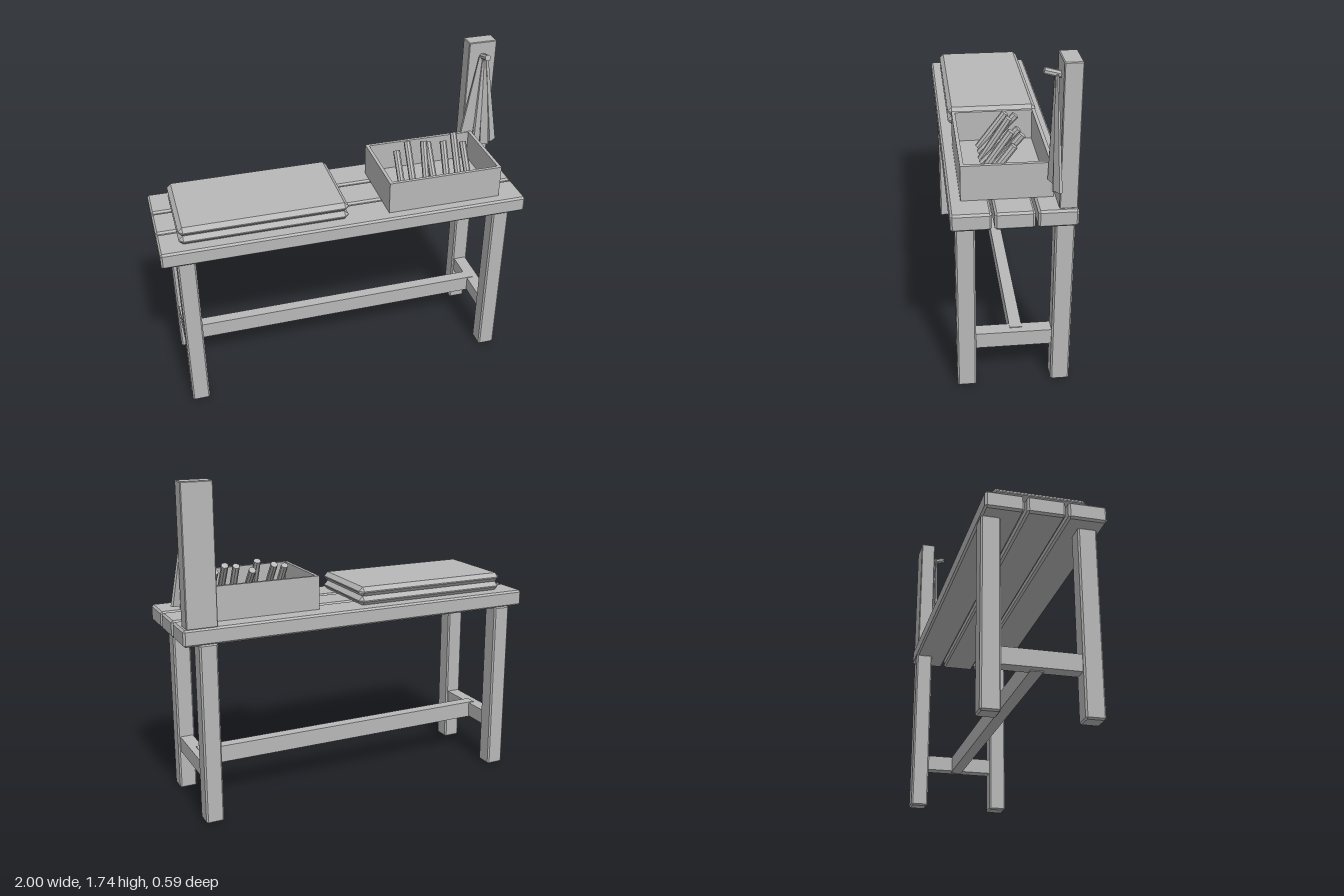
import * as THREE from 'three';
import { ConvexGeometry } from 'three/addons/geometries/ConvexGeometry.js';

const grey = new THREE.MeshStandardMaterial({ color: 0xb8b8b8, flatShading: true });
grey.name = 'plain grey';

// Box given by its limits, with every edge and corner chamfered by c
function chamferBox([x0, x1], [y0, y1], [z0, z1], c) {
  const half = [(x1 - x0) / 2, (y1 - y0) / 2, (z1 - z0) / 2];
  const points = [];
  for (const sx of [-1, 1]) for (const sy of [-1, 1]) for (const sz of [-1, 1]) {
    for (let axis = 0; axis < 3; axis++) {
      const d = half.map((h, i) => (i === axis ? h : h - c));
      points.push(new THREE.Vector3(sx * d[0], sy * d[1], sz * d[2]));
    }
  }
  return new ConvexGeometry(points).translate((x0 + x1) / 2, (y0 + y1) / 2, (z0 + z1) / 2);
}

// Sharp box given by its limits
function box([x0, x1], [y0, y1], [z0, z1]) {
  return new THREE.BoxGeometry(x1 - x0, y1 - y0, z1 - z0)
    .translate((x0 + x1) / 2, (y0 + y1) / 2, (z0 + z1) / 2);
}

// Tapered bar between two points; flat squashes it, twist turns it on its axis
function bar(from, to, r0, r1, sides, flat = 1, twist = 0) {
  const a = new THREE.Vector3(...from);
  const b = new THREE.Vector3(...to);
  const dir = b.clone().sub(a);
  const g = new THREE.CylinderGeometry(r1, r0, dir.length(), sides);
  g.rotateY(Math.PI / sides).scale(1, 1, flat).rotateY(twist);
  g.applyQuaternion(new THREE.Quaternion().setFromUnitVectors(
    new THREE.Vector3(0, 1, 0), dir.normalize()));
  return g.translate(...a.add(b).multiplyScalar(0.5).toArray());
}

export function createModel() {
  const model = new THREE.Group();
  model.name = 'workbench';
  const add = (name, geometry) => {
    const mesh = new THREE.Mesh(geometry, grey);
    mesh.name = name;
    model.add(mesh);
  };

  // Table top of three planks
  for (const z of [[-0.295, -0.107], [-0.094, 0.092], [0.105, 0.295]])
    add('plank', chamferBox([-1, 0.97], [0.945, 1.032], z, 0.01));

  // Legs, cross rails and long stretcher
  for (const x of [[-0.92, -0.825], [0.798, 0.892]]) {
    for (const z of [[0.175, 0.27], [-0.295, -0.2]])
      add('leg', chamferBox(x, [0, 0.95], z, 0.008));
    add('crossRail', box([x[0] + 0.012, x[1] - 0.012], [0.22, 0.303], [-0.21, 0.185]));
  }
  add('stretcher', box([-0.87, 0.845], [0.216, 0.307], [-0.056, 0.005]));

  // Two stacked boards with wide chamfers
  for (const y of [1.03, 1.08])
    add('board', chamferBox([-0.895, -0.01], [y, y + 0.05], [-0.235, 0.245], 0.022));

  // Open tray
  const tx = [0.21, 0.835], ty = [1.032, 1.21], tz = [-0.195, 0.238], w = 0.018;
  add('trayFloor', box(tx, [1.032, 1.05], tz));
  add('trayFront', box(tx, ty, [tz[1] - w, tz[1]]));
  add('trayBack', box(tx, ty, [tz[0], tz[0] + w]));
  add('traySide', box([tx[0], tx[0] + w], ty, [tz[0] + w, tz[1] - w]));
  add('traySide', box([tx[1] - w, tx[1]], ty, [tz[0] + w, tz[1] - w]));

  // Sticks leaning back in the tray: base x, top x
  const heights = [1.245, 1.265, 1.282];
  [[0.33, 0.333], [0.395, 0.408], [0.468, 0.485], [0.515, 0.528],
    [0.588, 0.6], [0.655, 0.675], [0.712, 0.715]].forEach(([x0, x1], i) => {
    add('stick', bar([x0, 1.06, 0.11], [x1, heights[i % 3], i % 2 ? -0.068 : -0.025],
      0.019, 0.019, 8));
  });

  // Upright post with a peg
  add('post', chamferBox([0.793, 0.952], [1.03, 1.737], [-0.29, -0.205], 0.004));
  add('peg', bar([0.872, 1.65, -0.22], [0.872, 1.675, -0.13], 0.017, 0.017, 8));

  // Cloth folds fanning down from the peg: end x, y, z, twist
  [[0.785, 1.14, -0.19, 0.1], [0.815, 1.06, -0.194, -0.3], [0.868, 1.13, -0.18, 0.4],
    [0.925, 1.115, -0.185, -0.3], [0.972, 1.13, -0.19, 0.5]].forEach(([x, y, z, twist], i) => {
    add('clothFold', bar([x, y, z], [0.854 + i * 0.009, 1.66, -0.185],
      0.034, 0.013, 4, 0.35, twist));
  });

  return model;
}
